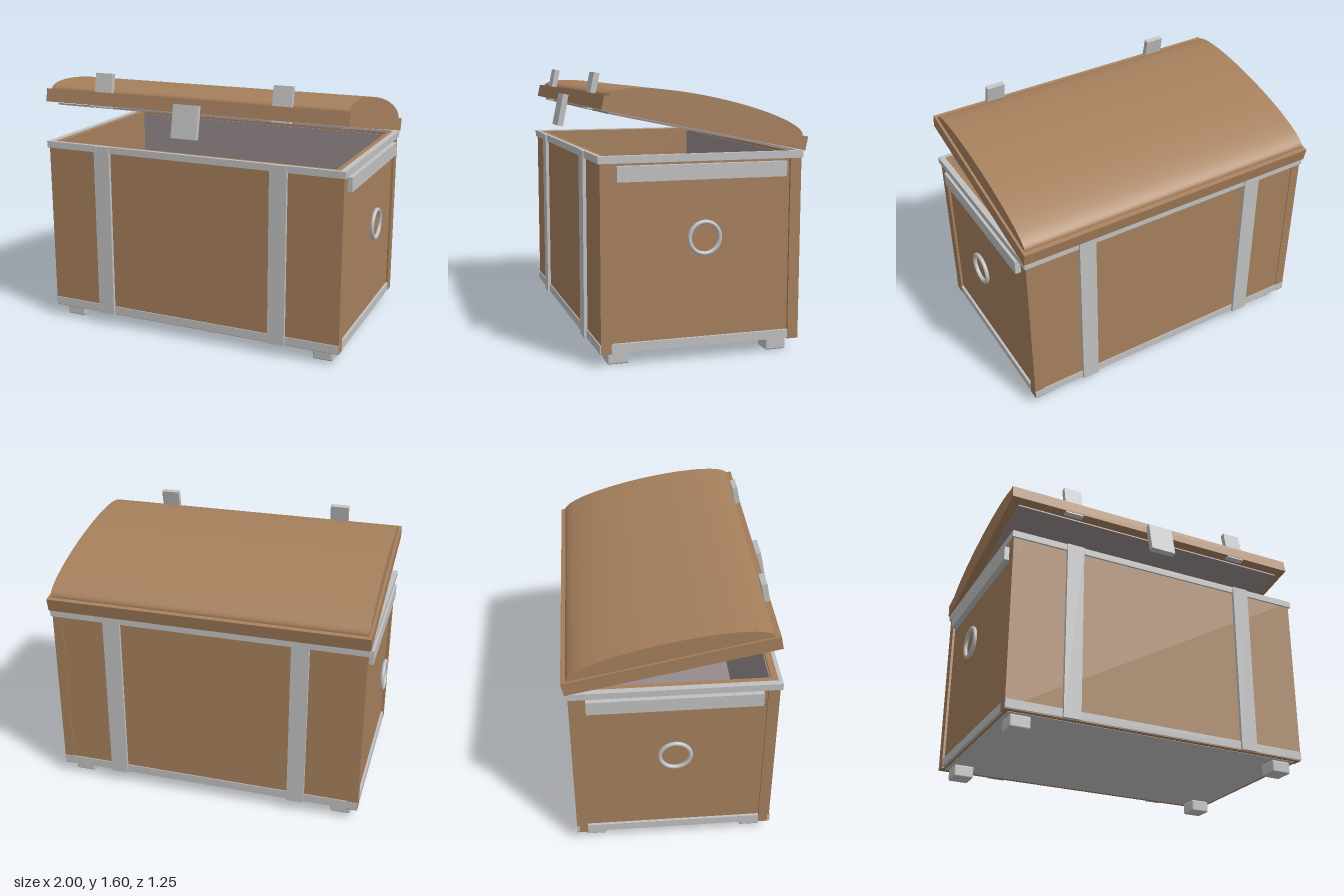
import * as THREE from 'three';
import { RoundedBoxGeometry } from 'three/addons/geometries/RoundedBoxGeometry.js';

export function createModel() {
  const mat = (name, color) => {
    const m = new THREE.MeshStandardMaterial({ color });
    m.name = name;
    return m;
  };
  const wood = mat('wood', 0xa57f5c);
  const metal = mat('metal', 0xc0c0c0);
  const cloth = mat('lining cloth', 0x968a8c);

  const chest = new THREE.Group();
  chest.name = 'chest';
  const add = (parent, name, geometry, material) => {
    const mesh = new THREE.Mesh(geometry, material);
    mesh.name = name;
    parent.add(mesh);
    return mesh;
  };
  // box given by its lower and upper limits on each axis
  const box = (parent, name, material, x0, x1, y0, y1, z0, z1) => {
    const m = add(parent, name, new THREE.BoxGeometry(x1 - x0, y1 - y0, z1 - z0), material);
    m.position.set((x0 + x1) / 2, (y0 + y1) / 2, (z0 + z1) / 2);
    return m;
  };
  // the same box on the side s = 1 or -1 of the x or z axis
  const sideX = (s, name, material, a, b, y0, y1, z0, z1) =>
    box(chest, name, material, Math.min(s * a, s * b), Math.max(s * a, s * b), y0, y1, z0, z1);
  const sideZ = (s, name, material, x0, x1, y0, y1, a, b) =>
    box(chest, name, material, x0, x1, y0, y1, Math.min(s * a, s * b), Math.max(s * a, s * b));

  // floor
  box(chest, 'floor', wood, -0.94, 0.94, 0.08, 0.12, -0.57, 0.57);
  box(chest, 'floorLining', cloth, -0.89, 0.89, 0.12, 0.128, -0.53, 0.53);
  box(chest, 'basePlate', metal, -0.92, 0.92, 0.073, 0.08, -0.55, 0.55);

  for (const s of [1, -1]) {
    // front and back walls, with lining and metal trim
    sideZ(s, 'longWall', wood, -0.95, 0.95, 0.075, 1.155, 0.535, 0.58);
    sideZ(s, 'wallLining', cloth, -0.89, 0.89, 0.128, 1.14, 0.528, 0.535);
    sideZ(s, 'longRim', metal, -0.96, 0.96, 1.12, 1.16, 0.57, 0.592);
    sideZ(s, 'longBottomTrim', metal, -0.95, 0.95, 0.08, 0.13, 0.57, 0.586);

    // end walls set back between the corner posts
    sideX(s, 'endWall', wood, 0.89, 0.935, 0.075, 1.155, -0.535, 0.535);
    sideX(s, 'endRim', metal, 0.925, 0.96, 1.12, 1.16, -0.57, 0.57);
    sideX(s, 'endBottomTrim', metal, 0.93, 0.95, 0.08, 0.13, -0.52, 0.52);
    sideX(s, 'endBar', metal, 0.93, 0.97, 1.02, 1.105, -0.49, 0.49);

    // ring handle
    const ring = add(chest, 'ringHandle', new THREE.TorusGeometry(0.088, 0.0125, 12, 40), metal);
    ring.rotation.y = Math.PI / 2;
    ring.position.set(s * 0.985, 0.7, 0);

    for (const t of [1, -1]) {
      sideX(s, 'cornerPost', wood, 0.89, 0.95, 0.075, 1.155, t * 0.55 - 0.035, t * 0.55 + 0.03);
      sideZ(t, 'strap', metal, s * 0.57 - 0.0525, s * 0.57 + 0.0525, 0.077, 1.16, 0.57, 0.6);
      const foot = add(chest, 'foot', new RoundedBoxGeometry(0.122, 0.074, 0.122, 2, 0.01), metal);
      foot.position.set(s * 0.84, 0.037, t * 0.47);
    }
  }

  // lid, hinged along the top back edge
  const lid = new THREE.Group();
  lid.name = 'lid';
  lid.position.set(0, 1.16, -0.6);
  lid.rotation.x = -Math.atan(0.209);
  chest.add(lid);

  box(lid, 'lidFrame', wood, -0.965, 0.965, 0, 0.08, 0, 1.197);
  box(lid, 'lidLining', cloth, -0.91, 0.91, -0.014, -0.004, 0.04, 1.145);

  // half ellipse extruded across the width, with smooth normals
  const dome = new THREE.Shape();
  dome.absellipse(0, 0, 0.57, 0.107, 0, Math.PI, false, 0);
  const domeGeometry = new THREE.ExtrudeGeometry(dome, { depth: 1.9, bevelEnabled: false, curveSegments: 40 });
  const p = domeGeometry.attributes.position;
  const n = domeGeometry.attributes.normal;
  for (let i = 0; i < p.count; i++) {
    if (Math.abs(n.getZ(i)) > 0.5 || n.getY(i) < -0.5) continue;
    const v = new THREE.Vector3(p.getX(i) / 0.57 ** 2, p.getY(i) / 0.107 ** 2, 0).normalize();
    n.setXYZ(i, v.x, v.y, 0);
  }
  domeGeometry.translate(0, 0, -0.95);
  domeGeometry.rotateY(-Math.PI / 2);
  add(lid, 'lidDome', domeGeometry, wood).position.set(0, 0.079, 0.598);

  // upright tabs and the hanging clasp
  for (const s of [1, -1]) {
    box(lid, 'lidTab', metal, s * 0.57 - 0.057, s * 0.57 + 0.057, -0.01, 0.195, 1.163, 1.195);
  }
  box(lid, 'clasp', metal, -0.08, 0.08, -0.15, 0.047, 1.195, 1.23);

  return chest;
}
